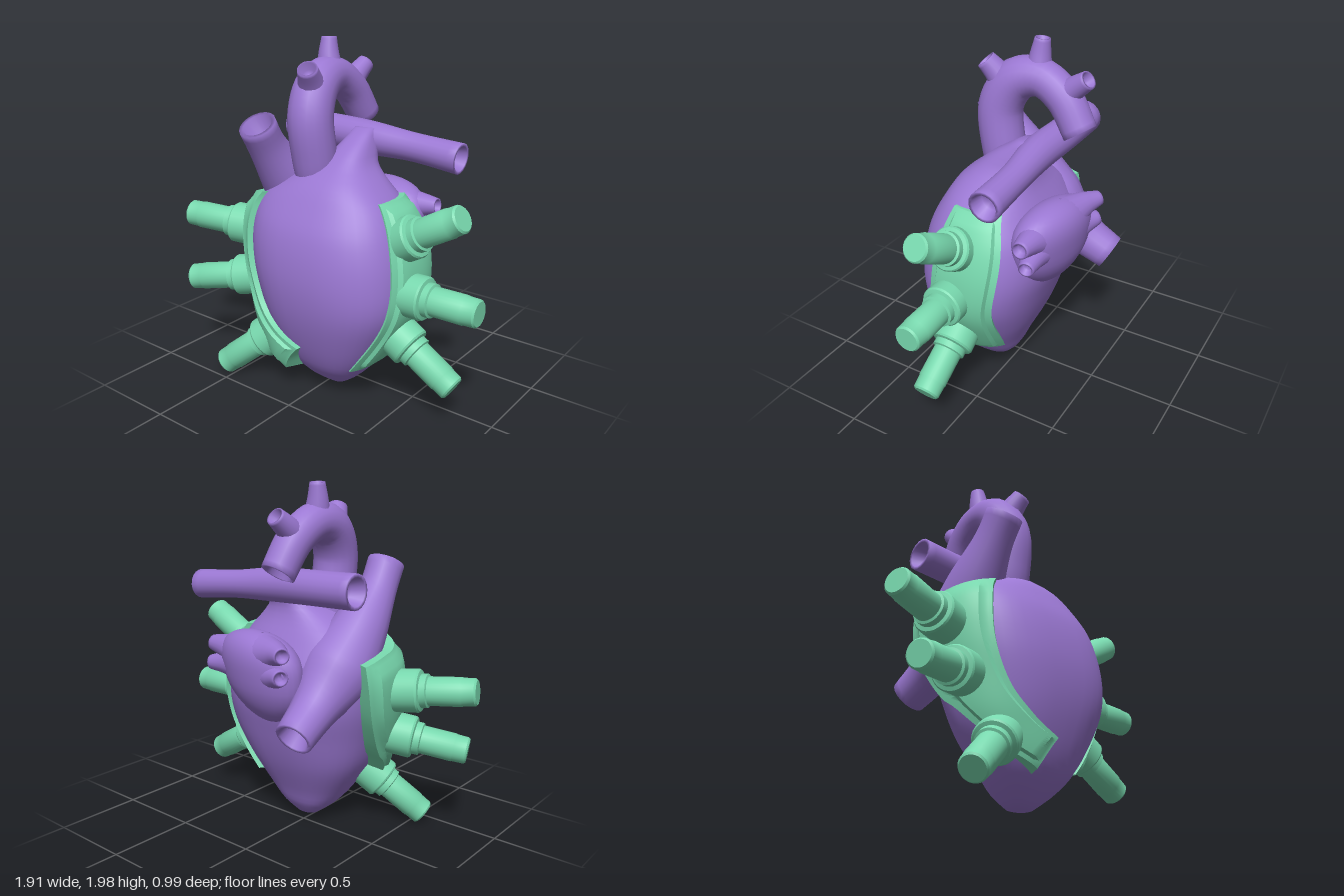
import * as THREE from 'three';
import { mergeVertices, toCreasedNormals } from 'three/addons/utils/BufferGeometryUtils.js';

const V = (x, y, z) => new THREE.Vector3(x, y, z);
const RAD = Math.PI / 180;

// Grid surface from f(i, j) -> Vector3
function grid(nu, nv, f) {
  const pos = [], idx = [];
  for (let j = 0; j <= nv; j++) {
    for (let i = 0; i <= nu; i++) pos.push(...f(i, j).toArray());
  }
  for (let j = 0; j < nv; j++) {
    for (let i = 0; i < nu; i++) {
      const a = j * (nu + 1) + i, c = a + nu + 1;
      idx.push(a, a + 1, c, a + 1, c + 1, c);
    }
  }
  const g = new THREE.BufferGeometry();
  g.setAttribute('position', new THREE.Float32BufferAttribute(pos, 3));
  g.setIndex(idx);
  const merged = mergeVertices(g, 1e-5);
  merged.computeVertexNormals();
  return merged;
}

// Smooth interpolation of rows keyed by their first number (ascending)
function sample(rows, key) {
  const k = THREE.MathUtils.clamp(key, rows[0][0], rows[rows.length - 1][0]);
  let i = 0;
  while (i < rows.length - 2 && rows[i + 1][0] < k) i++;
  const slope = (n, c) => {
    const a = rows[Math.max(n - 1, 0)], b = rows[Math.min(n + 1, rows.length - 1)];
    return (b[c] - a[c]) / (b[0] - a[0]);
  };
  const p = rows[i], q = rows[i + 1], h = q[0] - p[0], t = (k - p[0]) / h;
  const t2 = t * t, t3 = t2 * t;
  return p.map((_, c) => (2 * t3 - 3 * t2 + 1) * p[c] + (t3 - 2 * t2 + t) * h * slope(i, c)
    + (3 * t2 - 2 * t3) * q[c] + (t3 - t2) * h * slope(i + 1, c));
}

// Heart body rising into the pulmonary trunk: height, centre x, radius x, centre z, radius z
const BODY = [
  [0.03, 0.04, 0.07, 0.1, 0.06], [0.1, 0.04, 0.16, 0.115, 0.135], [0.2, 0.045, 0.25, 0.135, 0.2],
  [0.4, 0.045, 0.38, 0.13, 0.29], [0.6, 0.055, 0.46, 0.12, 0.35], [0.8, 0.035, 0.49, 0.1, 0.38],
  [1.0, 0.01, 0.47, 0.09, 0.355], [1.15, 0, 0.4, 0.09, 0.28], [1.25, 0.03, 0.27, 0.08, 0.22],
  [1.33, 0.06, 0.155, 0.04, 0.165], [1.42, 0.08, 0.095, -0.03, 0.125], [1.51, 0.08, 0.06, -0.11, 0.06],
];
const TOP = 1.51, BOTTOM = 0.03;
const soft = (c) => Math.sign(c) * Math.abs(c) ** 0.8;
function bodyPoint(deg, y, off = 0) {
  const [, cx, rx, cz, rz] = sample(BODY, y);
  const a = deg * RAD;
  return V(cx + (rx + off) * soft(Math.cos(a)), y, cz + (rz + off) * soft(Math.sin(a)));
}
function bodyGeometry() {
  const rows = 44;
  return grid(40, rows + 2, (i, j) => {
    const k = THREE.MathUtils.clamp(j - 1, 0, rows) / rows;
    const y = THREE.MathUtils.lerp(TOP, BOTTOM, k);
    if (j === 0 || j === rows + 2) {
      const [, cx, , cz] = sample(BODY, y);
      return V(cx, y, cz);
    }
    return bodyPoint((i % 40) * 9, y);
  });
}

// Vessel through [x, y, z, radius] points; each end may be a hollow mouth
function vessel(pts, openStart = false) {
  const curve = new THREE.CatmullRomCurve3(pts.map((p) => V(p[0], p[1], p[2])));
  const n = pts.length * 5, sides = 18;
  const { normals, binormals } = curve.computeFrenetFrames(n);
  const radii = pts.map((p, i) => [i / (pts.length - 1), p[3]]);
  const rings = [];
  for (let s = 0; s <= n; s++) {
    // same parameter for radius and position, so radii stay at their points
    const u = curve.getUtoTmapping(s / n);
    rings.push({ p: curve.getPointAt(s / n), r: sample(radii, u)[1], s });
  }
  const mouth = (ring, open, dir) => {
    const inward = curve.getTangentAt(ring.s / n).multiplyScalar(dir * ring.r * 0.8);
    const deep = ring.p.clone().add(inward);
    return open
      ? [{ ...ring, r: ring.r * 0.8 }, { ...ring, p: deep, r: ring.r * 0.6 }, { ...ring, p: deep, r: 0 }]
      : [{ ...ring, r: 0 }];
  };
  const all = [...mouth(rings[0], openStart, 1).reverse(), ...rings, ...mouth(rings[n], true, -1)];
  return grid(sides, all.length - 1, (i, j) => {
    const { p, r, s } = all[j], a = ((i % sides) / sides) * Math.PI * 2;
    return p.clone().addScaledVector(normals[s], r * Math.cos(a)).addScaledVector(binormals[s], r * Math.sin(a));
  });
}

// Curved plate between two edges of [angle, height] points on the body
function plate(edgeA, edgeB, liftA, liftB) {
  const line = (e) => new THREE.SplineCurve(e.map((p) => new THREE.Vector2(...p)));
  const a = line(edgeA), b = line(edgeB), nu = 20, nv = 32;
  const inner = (i, n) => THREE.MathUtils.clamp(i - 1, 0, n - 2) / (n - 2);
  const g = grid(nu, nv, (i, j) => {
    const u = inner(i, nu), v = inner(j, nv);
    const q = a.getPoint(v).lerp(b.getPoint(v), u);
    const rim = i === 0 || j === 0 || i === nu || j === nv;
    const raised = Math.min(u, 1 - u) > 0.14 && Math.min(v, 1 - v) > 0.05;
    const lift = THREE.MathUtils.lerp(liftA, liftB, u) + (raised ? 0.018 : 0);
    return bodyPoint(q.x, q.y, rim ? -0.04 : lift);
  });
  return toCreasedNormals(g, 0.6);
}

export function createModel() {
  const model = new THREE.Group();
  const purple = new THREE.MeshStandardMaterial({ color: 0x9b78d3 });
  const green = new THREE.MeshStandardMaterial({ color: 0x78d8ae });
  const add = (name, geometry, material = purple) => {
    const m = new THREE.Mesh(geometry, material);
    m.name = name;
    model.add(m);
    return m;
  };

  add('heartBody', bodyGeometry());

  // Great vessels
  add('aorta', vessel([[-0.08, 1.18, 0.12, 0.11], [-0.08, 1.35, 0.15, 0.125], [-0.09, 1.6, 0.17, 0.125],
    [-0.11, 1.75, 0.08, 0.12], [-0.12, 1.78, -0.06, 0.105], [-0.11, 1.7, -0.2, 0.1], [-0.09, 1.53, -0.315, 0.095]]));
  const archBranches = [
    [[-0.1, 1.68, 0.12, 0.09], [-0.075, 1.78, 0.185, 0.07], [-0.05, 1.85, 0.24, 0.055]],
    [[-0.12, 1.77, -0.04, 0.08], [-0.135, 1.89, -0.045, 0.06], [-0.14, 1.99, -0.055, 0.042]],
    [[-0.11, 1.7, -0.19, 0.08], [-0.11, 1.76, -0.26, 0.065], [-0.1, 1.825, -0.345, 0.05]],
  ];
  archBranches.forEach((b, i) => add('aortaBranch' + (i + 1), vessel(b)));
  add('pulmonaryArteries', vessel([[-0.48, 1.455, -0.16, 0.095], [-0.2, 1.45, -0.16, 0.095],
    [0.08, 1.44, -0.15, 0.095], [0.35, 1.42, -0.17, 0.08], [0.64, 1.395, -0.175, 0.085]], true));

  // Right atrium, running from the upper vein to the lower vein
  add('rightAtriumAndVeins', vessel([[-0.305, 1.545, 0.36, 0.105], [-0.31, 1.4, 0.27, 0.11],
    [-0.3, 1.2, 0.12, 0.16], [-0.27, 0.98, -0.05, 0.205], [-0.28, 0.82, -0.25, 0.13],
    [-0.3, 0.71, -0.44, 0.105]], true));

  // Left atrium: an egg with a broad, flattened top
  const egg = new THREE.SphereGeometry(1, 32, 24).deleteAttribute('uv').deleteAttribute('normal');
  const ep = egg.attributes.position;
  for (let i = 0; i < ep.count; i++) {
    const y = ep.getY(i), w = 1 + 0.22 * y;
    const flat = Math.sign(y) * Math.abs(y) ** 0.85;
    ep.setXYZ(i, ep.getX(i) * 0.3 * w + 0.03 * y, flat * 0.26, ep.getZ(i) * 0.15 * w - 0.03 * y);
  }
  const atriumGeometry = mergeVertices(egg);
  atriumGeometry.computeVertexNormals();
  const atrium = add('leftAtrium', atriumGeometry);
  atrium.position.set(0.085, 0.94, -0.25);
  atrium.rotation.y = -0.15;
  const veins = [
    [[0.2, 1.04, -0.25, 0.12], [0.34, 1.07, -0.26, 0.075], [0.46, 1.08, -0.265, 0.045]],
    [[0.2, 0.98, -0.25, 0.12], [0.33, 0.98, -0.275, 0.07], [0.45, 0.97, -0.295, 0.042]],
    [[0.04, 1.08, -0.29, 0.12], [-0.1, 1.11, -0.35, 0.07], [-0.19, 1.12, -0.4, 0.042]],
    [[0.04, 0.98, -0.28, 0.12], [-0.1, 0.99, -0.35, 0.07], [-0.18, 1.0, -0.4, 0.042]],
  ];
  veins.forEach((v, i) => add('pulmonaryVein' + (i + 1), vessel(v)));

  // Side plates
  add('rightPlate', plate(
    [[137, 1.16], [142, 0.8], [136, 0.56], [116, 0.41], [94, 0.33]],
    [[203, 1.06], [195, 0.72], [179, 0.46], [153, 0.27], [115, 0.16]], 0.03, 0.1), green);
  add('leftPlate', plate(
    [[-34, 1.18], [-32, 0.95], [-30, 0.7], [-36, 0.47], [-46, 0.28]],
    [[15, 1.18], [18, 0.95], [20, 0.7], [26, 0.45], [40, 0.22]], 0.03, 0.012), green);

  // Stepped ports: [base, tip]
  const ports = [
    [[-0.49, 0.875, 0.16], [-0.945, 0.915, 0.3]], [[-0.43, 0.61, 0.22], [-0.86, 0.54, 0.39]],
    [[-0.23, 0.35, 0.275], [-0.57, 0.065, 0.43]], [[0.43, 0.96, 0.1], [0.825, 1.18, 0.11]],
    [[0.49, 0.7, 0.12], [0.945, 0.7, 0.11]], [[0.42, 0.475, 0.12], [0.82, 0.235, 0.12]],
  ];
  ports.forEach(([base, tip], i) => {
    const from = V(...base), dir = V(...tip).sub(from), L = dir.length();
    const profile = [[0, -0.06], [0.12, -0.06], [0.12, L - 0.315], [0.113, L - 0.305], [0.093, L - 0.3],
      [0.093, L - 0.265], [0.08, L - 0.26], [0.08, L - 0.08], [0.077, L - 0.075], [0.075, L - 0.01],
      [0.066, L], [0, L]];
    const g = new THREE.LatheGeometry(profile.map((p) => new THREE.Vector2(...p)), 28);
    const m = add((i < 3 ? 'rightPort' : 'leftPort') + (i % 3 + 1), toCreasedNormals(g, 0.6), green);
    m.position.copy(from);
    m.quaternion.setFromUnitVectors(V(0, 1, 0), dir.normalize());
  });

  return model;
}
